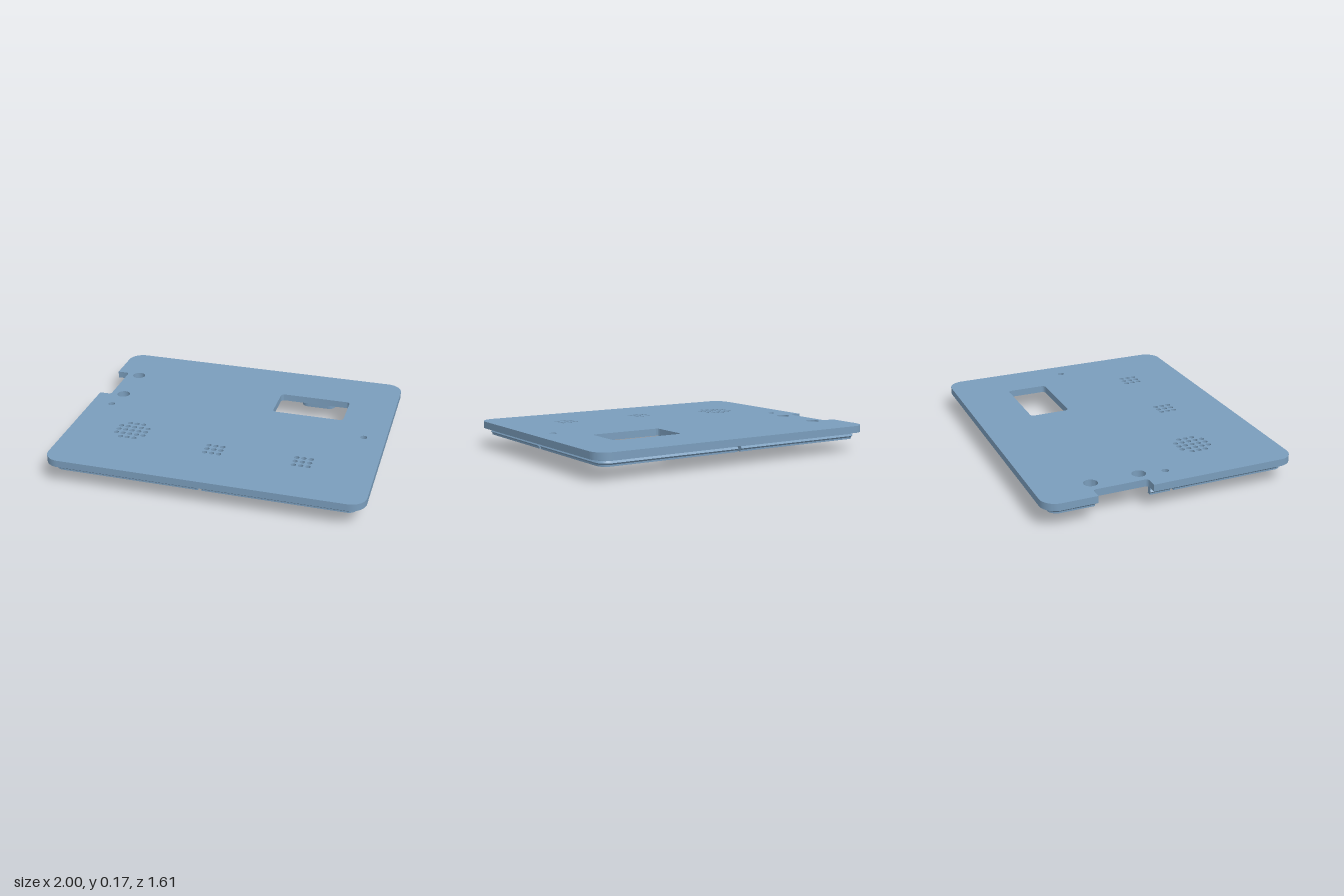
import * as THREE from 'three';
import { toCreasedNormals } from 'three/addons/utils/BufferGeometryUtils.js';

const TOP = 0.17, UNDER = 0.125;
const NOTCH = { x: -0.92, back: -0.485, front: -0.14 };

const blue = new THREE.MeshStandardMaterial({ color: 0x7a9dbc });
blue.name = 'slateBlue';

// Rounded rectangle; shape x, y stand for model x, z
function roundedRect(path, cx, cz, w, d, r) {
  const x = w / 2 - r, z = d / 2 - r;
  path.absarc(cx + x, cz + z, r, 0, Math.PI / 2);
  path.absarc(cx - x, cz + z, r, Math.PI / 2, Math.PI);
  path.absarc(cx - x, cz - z, r, Math.PI, Math.PI * 1.5);
  path.absarc(cx + x, cz - z, r, Math.PI * 1.5, Math.PI * 2);
  path.closePath();
  return path;
}

// Horizontal slab between two heights
function slab(name, shape, bottom, top) {
  const geo = new THREE.ExtrudeGeometry(shape, { depth: top - bottom, bevelEnabled: false, curveSegments: 10 });
  geo.rotateX(Math.PI / 2).translate(0, top, 0);
  const mesh = new THREE.Mesh(toCreasedNormals(geo, 0.7), blue);
  mesh.name = name;
  return mesh;
}

// Cover outline with the notch in its -x edge
function coverShape() {
  const s = new THREE.Shape(), x = 0.9, z = 0.705, r = 0.1, n = 0.02, P = Math.PI;
  s.absarc(x, z, r, 0, P / 2);
  s.absarc(-x, z, r, P / 2, P);
  s.lineTo(-1, NOTCH.front);
  s.absarc(NOTCH.x - n, NOTCH.front - n, n, P / 2, 0, true);
  s.absarc(NOTCH.x - n, NOTCH.back + n, n, 0, -P / 2, true);
  s.lineTo(-1, NOTCH.back);
  s.absarc(-x, -z, r, P, P * 1.5);
  s.absarc(x, -z, r, P * 1.5, P * 2);
  s.closePath();

  const hole = (hx, hz, hr) => s.holes.push(new THREE.Path().absarc(hx, hz, hr, 0, P * 2, true));
  const grille = (cx, cz, half) => {
    for (let i = -half; i <= half; i++) for (let j = -half; j <= half; j++) {
      if (half > 1 && Math.abs(i) === half && Math.abs(j) === half) continue;
      hole(cx + i * 0.0455, cz + j * 0.0455, 0.0165);
    }
  };
  s.holes.push(roundedRect(new THREE.Path(), 0.452, -0.322, 0.475, 0.265, 0.025));
  hole(-0.835, -0.465, 0.043);
  hole(-0.835, -0.16, 0.043);
  for (const side of [-1, 1]) hole(side * 0.86, 0, 0.022);
  grille(-0.593, 0.315, 2);
  grille(-0.015, 0.41, 1);
  grille(0.55, 0.41, 1);
  return s;
}

// Lip section as [outward offset, y], with a snap ridge half way down
const lipSection = [[-0.03, UNDER], [0, UNDER], [0, 0.112], [0.009, 0.1], [0, 0.09], [0, 0.08], [-0.03, 0.08]];

// Sweeps the lip section along points { x, z, a }, a being the outward angle
function lipPiece(points) {
  const pos = [], m = lipSection.length;
  const at = (i, j) => {
    const p = points[i], [o, y] = lipSection[j % m];
    return [p.x + Math.cos(p.a) * o, y, p.z + Math.sin(p.a) * o];
  };
  const tri = (a, b, c) => pos.push(...a, ...b, ...c);
  const end = points.length - 1;
  for (let i = 0; i < end; i++) for (let j = 0; j < m; j++) {
    tri(at(i, j), at(i + 1, j), at(i + 1, j + 1));
    tri(at(i, j), at(i + 1, j + 1), at(i, j + 1));
  }
  for (let j = 1; j < m - 1; j++) {
    tri(at(0, 0), at(0, j), at(0, j + 1));
    tri(at(end, 0), at(end, j + 1), at(end, j));
  }
  const geo = new THREE.BufferGeometry();
  geo.setAttribute('position', new THREE.Float32BufferAttribute(pos, 3));
  geo.computeVertexNormals();
  const mesh = new THREE.Mesh(toCreasedNormals(geo, 0.4), blue);
  mesh.name = 'lipSegment';
  return mesh;
}

// Four lip quarters, parted at the middle of each side and at the notch
function createLip() {
  const lip = new THREE.Group();
  lip.name = 'snapLip';
  const X = 0.948, Z = 0.755, r = 0.06, gap = 0.012, steps = 10;
  for (let k = 0; k < 4; k++) {
    const sx = k === 0 || k === 3 ? 1 : -1, sz = k < 2 ? 1 : -1;
    const a0 = k * Math.PI / 2, a1 = a0 + Math.PI / 2;
    const onX = { x: sx * X, z: sz * gap }, onZ = { x: sx * gap, z: sz * Z };
    const start = k % 2 ? onZ : onX, finish = k % 2 ? onX : onZ;
    if (k === 2) {
      lip.add(lipPiece([{ ...start, a: a0 }, { x: -X, z: NOTCH.front, a: a0 }]));
      start.z = NOTCH.back;
    }
    const pts = [{ ...start, a: a0 }];
    for (let i = 0; i <= steps; i++) {
      const a = a0 + (a1 - a0) * i / steps;
      pts.push({ x: sx * (X - r) + r * Math.cos(a), z: sz * (Z - r) + r * Math.sin(a), a });
    }
    pts.push({ ...finish, a: a1 });
    lip.add(lipPiece(pts));
  }
  return lip;
}

export function createModel() {
  const model = new THREE.Group();
  model.name = 'enclosureCover';
  model.add(slab('coverPlate', coverShape(), UNDER, TOP), createLip());

  // Blocks on the underside: one tall post and three low pads
  const block = (name, x, z, bottom) =>
    model.add(slab(name, roundedRect(new THREE.Shape(), x, z, 0.228, 0.13, 0.045), bottom, UNDER));
  block('tallPost', -0.594, 0.525, 0);
  block('middlePad', -0.015, 0.525, 0.1);
  block('sidePad', 0.55, 0.525, 0.1);
  block('windowPad', 0.47, -0.522, 0.1);
  return model;
}
